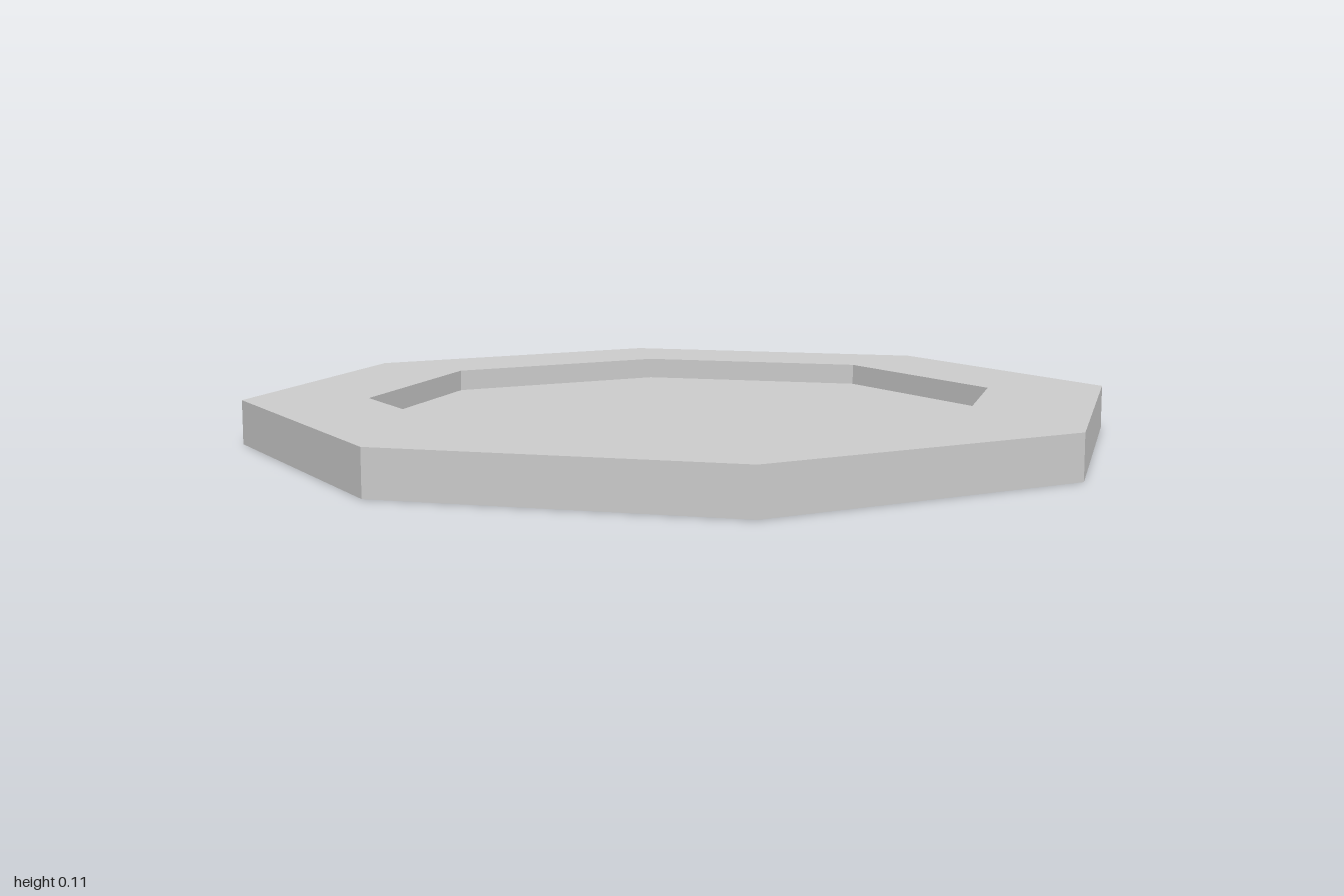
import * as THREE from 'three';

const HEIGHT = 0.108;

// Regular octagon with flat sides facing the axes, sized by its apothem
function octagon(apothem, PathType) {
  const radius = apothem / Math.cos(Math.PI / 8);
  const points = [];
  for (let i = 0; i < 8; i++) {
    const a = (i + 0.5) * Math.PI / 4;
    points.push(new THREE.Vector2(radius * Math.cos(a), radius * Math.sin(a)));
  }
  return new PathType(points);
}

export function createModel() {
  const group = new THREE.Group();
  group.name = 'octagonalTray';

  // Thick octagonal frame with an octagonal opening
  const frameShape = octagon(1, THREE.Shape);
  frameShape.holes.push(octagon(0.72, THREE.Path));
  const frameGeometry = new THREE.ExtrudeGeometry(frameShape, { depth: HEIGHT, bevelEnabled: false });
  frameGeometry.rotateX(-Math.PI / 2);
  const frame = new THREE.Mesh(
    frameGeometry,
    new THREE.MeshStandardMaterial({ color: 0xcccccc, flatShading: true })
  );
  frame.name = 'frame';
  group.add(frame);

  // Thin panel halfway up the opening, recessed from above and below
  const panelGeometry = new THREE.ShapeGeometry(octagon(0.72, THREE.Shape));
  panelGeometry.rotateX(-Math.PI / 2);
  const panel = new THREE.Mesh(
    panelGeometry,
    new THREE.MeshStandardMaterial({ color: 0xcccccc, flatShading: true, side: THREE.DoubleSide })
  );
  panel.name = 'panel';
  panel.position.y = HEIGHT / 2;
  group.add(panel);

  return group;
}
